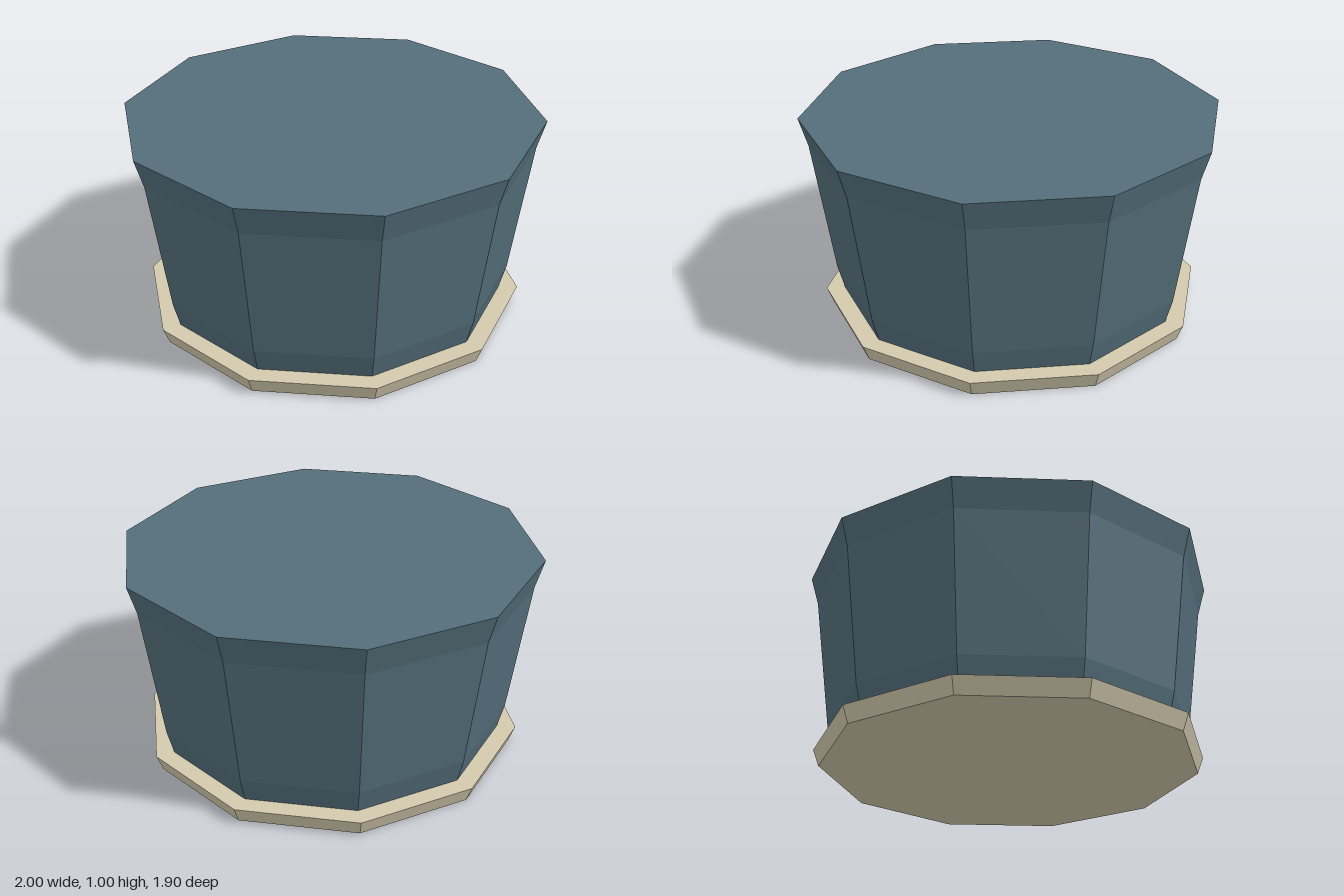
import * as THREE from 'three';

const SIDES = 10;

// Ten-sided solid turned from a [radius, height] profile, bottom to top, with a corner on +x
function turned(name, profile, color) {
  const points = profile.map(([r, y]) => new THREE.Vector2(r, y));
  const geometry = new THREE.LatheGeometry(points, SIDES, Math.PI / 2);
  const mesh = new THREE.Mesh(geometry, new THREE.MeshStandardMaterial({ color, flatShading: true }));
  mesh.name = name;
  return mesh;
}

export function createModel() {
  const group = new THREE.Group();
  group.name = 'pottedTub';

  // Closed tub: tapered foot, straight wall, flared rim and flat top; its base sits just inside the saucer
  group.add(turned('tub', [
    [0, 0.003], [0.82, 0.003], [0.87, 0.2], [0.96, 0.86], [1, 1], [0, 1],
  ], 0x546e7a));

  // Shallow flared saucer under the tub
  group.add(turned('saucer', [
    [0, 0], [0.9, 0], [0.93, 0.08], [0, 0.08],
  ], 0xd3c9ae));

  return group;
}
